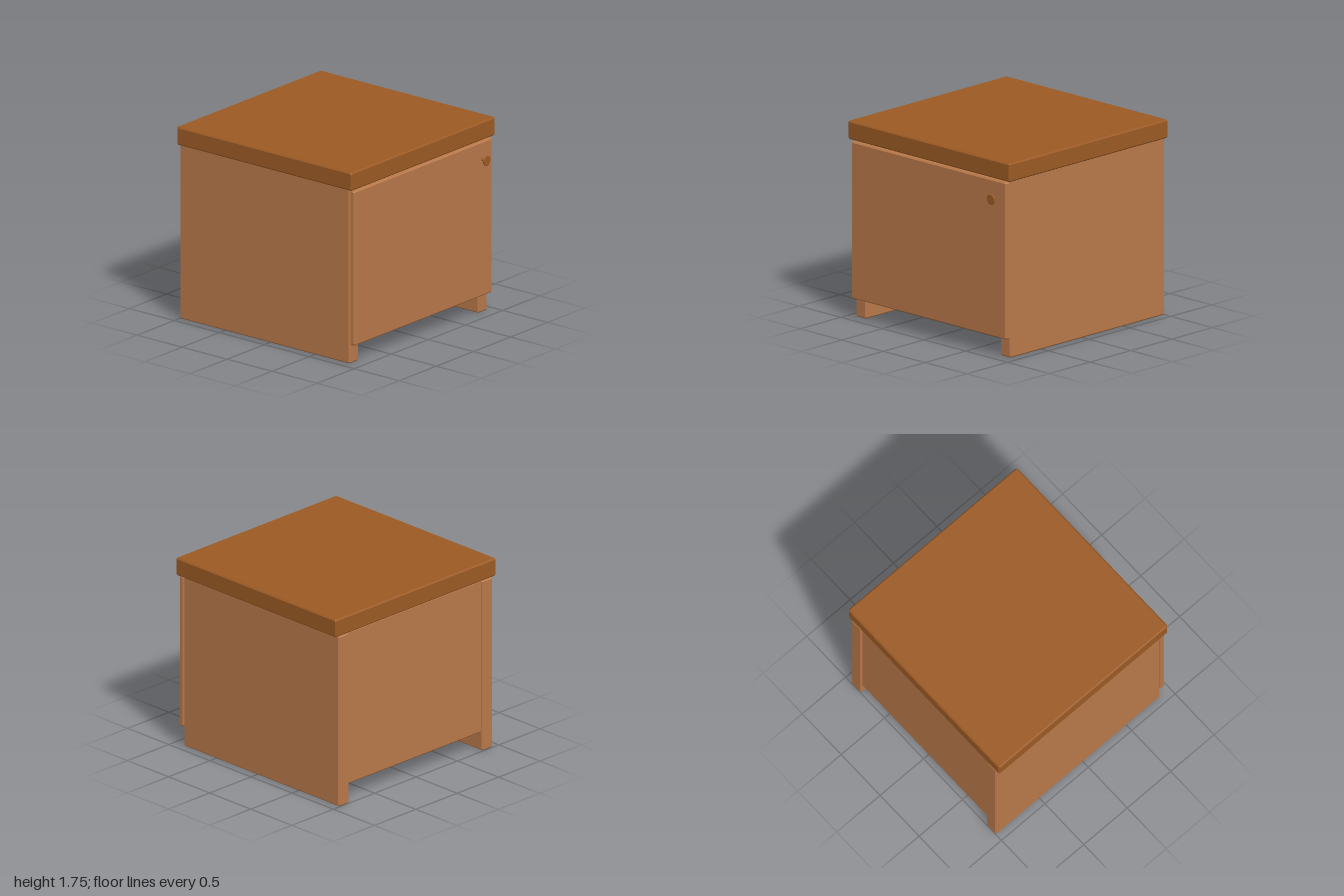
import * as THREE from 'three';
import { ConvexGeometry } from 'three/addons/geometries/ConvexGeometry.js';

const lightWood = new THREE.MeshStandardMaterial({ color: 0xb87849 });
lightWood.name = 'lightWood';
const darkWood = new THREE.MeshStandardMaterial({ color: 0x9b5a24 });
darkWood.name = 'darkWood';

// Box between two corners with every edge chamfered by c
function chamferedBox(name, min, max, material, c = 0.012) {
  const half = min.map((v, i) => (max[i] - v) / 2);
  const points = [];
  for (const sx of [-1, 1]) for (const sy of [-1, 1]) for (const sz of [-1, 1]) {
    for (let axis = 0; axis < 3; axis++) {
      const p = [sx, sy, sz].map((s, i) => s * (half[i] - (i === axis ? 0 : c)));
      points.push(new THREE.Vector3(...p));
    }
  }
  const mesh = new THREE.Mesh(new ConvexGeometry(points), material);
  mesh.position.set(...min.map((v, i) => (v + max[i]) / 2));
  mesh.name = name;
  return mesh;
}

export function createModel() {
  const model = new THREE.Group();
  model.name = 'bedsideCabinet';

  // Overhanging top slab
  model.add(chamferedBox('top', [-0.97, 1.585, -1], [0.97, 1.75, 0.945], darkWood));

  // Side panels reach the floor and act as feet
  for (const [name, s] of [['leftSide', 1], ['rightSide', -1]]) {
    const x = s * 0.8675;
    model.add(chamferedBox(name, [x - 0.0625, 0, -1], [x + 0.0625, 1.585, 0.89], lightWood));
  }

  // Bottom board and slightly recessed back
  model.add(chamferedBox('bottom', [-0.81, 0.17, -0.985], [0.81, 0.29, 0.885], lightWood));
  model.add(chamferedBox('back', [-0.81, 0.19, -0.985], [0.81, 1.59, -0.88], lightWood));

  // Door covering the whole front
  model.add(chamferedBox('door', [-0.93, 0.172, 0.892], [0.93, 1.573, 0.945], lightWood));

  // Knob: thin stem and round disc turned from one profile
  const profile = [
    [0.012, 0], [0.012, 0.046], [0.041, 0.046], [0.045, 0.049],
    [0.045, 0.057], [0.041, 0.06], [0, 0.06],
  ].map(([r, h]) => new THREE.Vector2(r, h));
  const knobGeometry = new THREE.LatheGeometry(profile, 24).toNonIndexed();
  knobGeometry.computeVertexNormals();
  const knob = new THREE.Mesh(knobGeometry, darkWood);
  knob.rotation.x = Math.PI / 2;
  knob.position.set(0.793, 1.41, 0.94);
  knob.name = 'knob';
  model.add(knob);

  return model;
}
